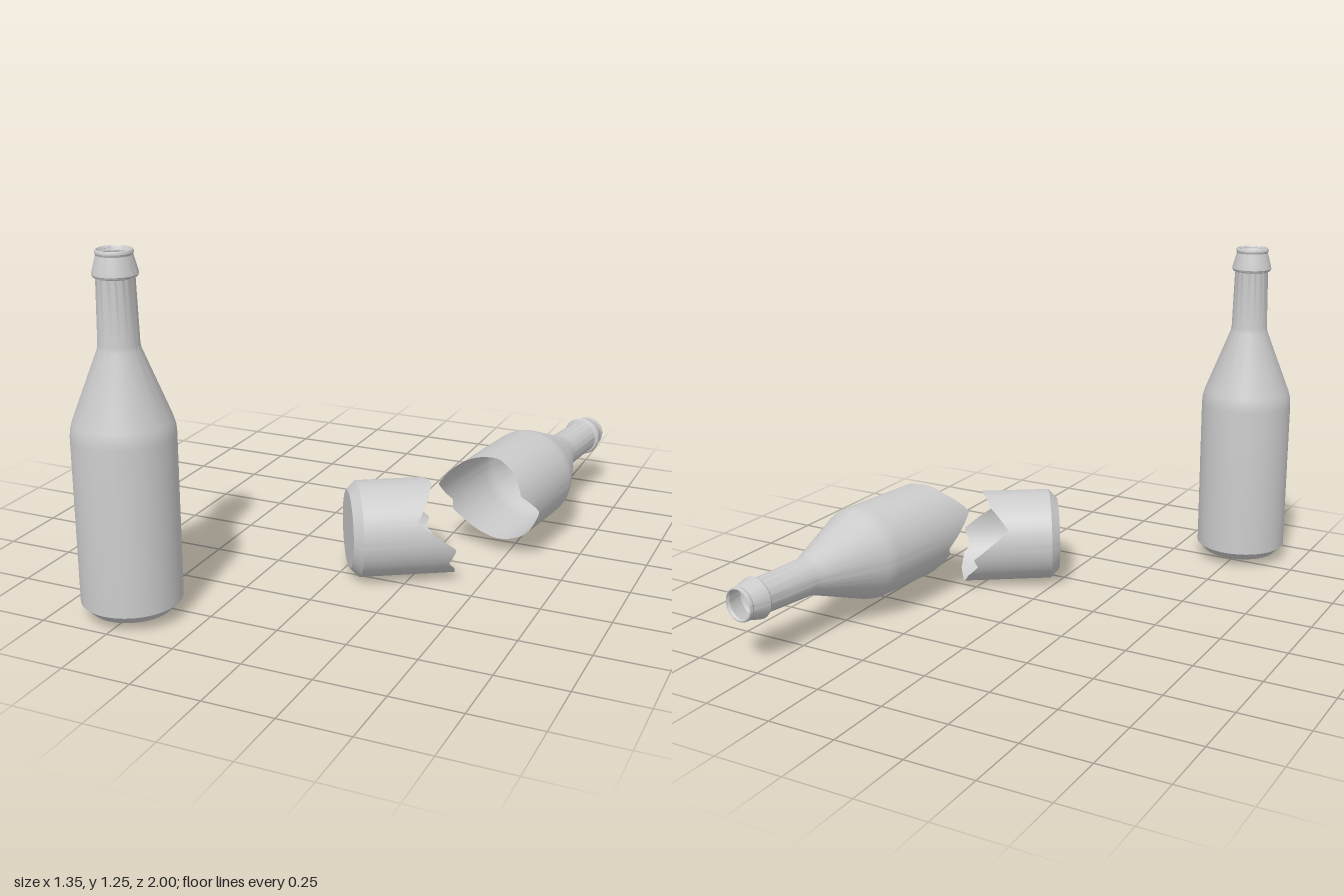
import * as THREE from 'three';
import { toCreasedNormals } from 'three/addons/utils/BufferGeometryUtils.js';

// Bottle outline as [radius, height], from the centre of the base to the mouth
const BASE = [[0, 0], [0.14, 0], [0.172, 0.032]];
const UPPER = [
  [0.173, 0.61], [0.171, 0.636], [0.164, 0.662], // shoulder
  [0.071, 0.9], [0.068, 0.918], [0.063, 1.135], // neck
  [0.071, 1.138], [0.075, 1.146], [0.073, 1.156], // collar
  [0.059, 1.207], [0.062, 1.215], [0.06, 1.223], [0.056, 1.225], [0.052, 1.218], // mouth
];

// Jagged fracture: [angle in degrees from the side, height on the wall]
const FRACTURE = [
  [-90, 0.37], [-66, 0.375], [-43, 0.363], [-31, 0.337], [-10, 0.36], [25, 0.222],
  [52, 0.265], [80, 0.293], [123, 0.262], [156, 0.195], [193, 0.33], [204, 0.315],
  [222, 0.352], [250, 0.37], [270, 0.37],
];

function fractureHeight(x, z) {
  let a = THREE.MathUtils.radToDeg(Math.atan2(z, x));
  if (a < -90) a += 360;
  let i = 1;
  while (i < FRACTURE.length - 1 && FRACTURE[i][0] < a) i++;
  const [a0, h0] = FRACTURE[i - 1];
  const [a1, h1] = FRACTURE[i];
  return THREE.MathUtils.mapLinear(a, a0, a1, h0, h1);
}

const material = new THREE.MeshStandardMaterial({ color: 0xcccccc, side: THREE.DoubleSide });

// Turned glass; the profile row at index cutRow is moved onto the fracture line
function glass(name, profile, segments, cutRow = -1) {
  const geometry = new THREE.LatheGeometry(profile.map(([r, y]) => new THREE.Vector2(r, y)), segments);
  if (cutRow >= 0) {
    const pos = geometry.attributes.position;
    for (let i = cutRow; i < pos.count; i += profile.length) {
      pos.setY(i, fractureHeight(pos.getX(i), pos.getZ(i)));
    }
  }
  const mesh = new THREE.Mesh(toCreasedNormals(geometry, 0.5), material);
  mesh.name = name;
  return mesh;
}

// Lay a piece down with its axis along the given direction
function lay(mesh, baseCentre, direction) {
  const axis = direction.clone().normalize();
  const right = axis.clone().cross(new THREE.Vector3(0, 1, 0)).normalize();
  const up = right.clone().cross(axis);
  mesh.quaternion.setFromRotationMatrix(new THREE.Matrix4().makeBasis(right, axis, up));
  mesh.position.copy(baseCentre);
  return mesh;
}

export function createModel() {
  const group = new THREE.Group();
  group.name = 'bottles';

  // Whole bottle, standing
  const whole = glass('wholeBottle', [...BASE, ...UPPER], 64);
  whole.position.set(-0.508, 0.03, 0.825);
  group.add(whole);

  // Broken-off bottom, lying on its side
  const bottom = glass('brokenBottom', [...BASE, [0.1725, 0.3]], 120, BASE.length);
  group.add(lay(bottom, new THREE.Vector3(0.035, 0.178, 0.257), new THREE.Vector3(0.845, -0.01, -0.538)));

  // Broken-off top with shoulder and neck
  const top = glass('brokenTop', [[0.1725, 0.3], ...UPPER], 120, 0);
  const axis = new THREE.Vector3(0.13, -0.004, -0.991).normalize();
  const mouth = new THREE.Vector3(0.573, 0.227, -0.992);
  group.add(lay(top, mouth.addScaledVector(axis, -1.225), axis));

  return group;
}
